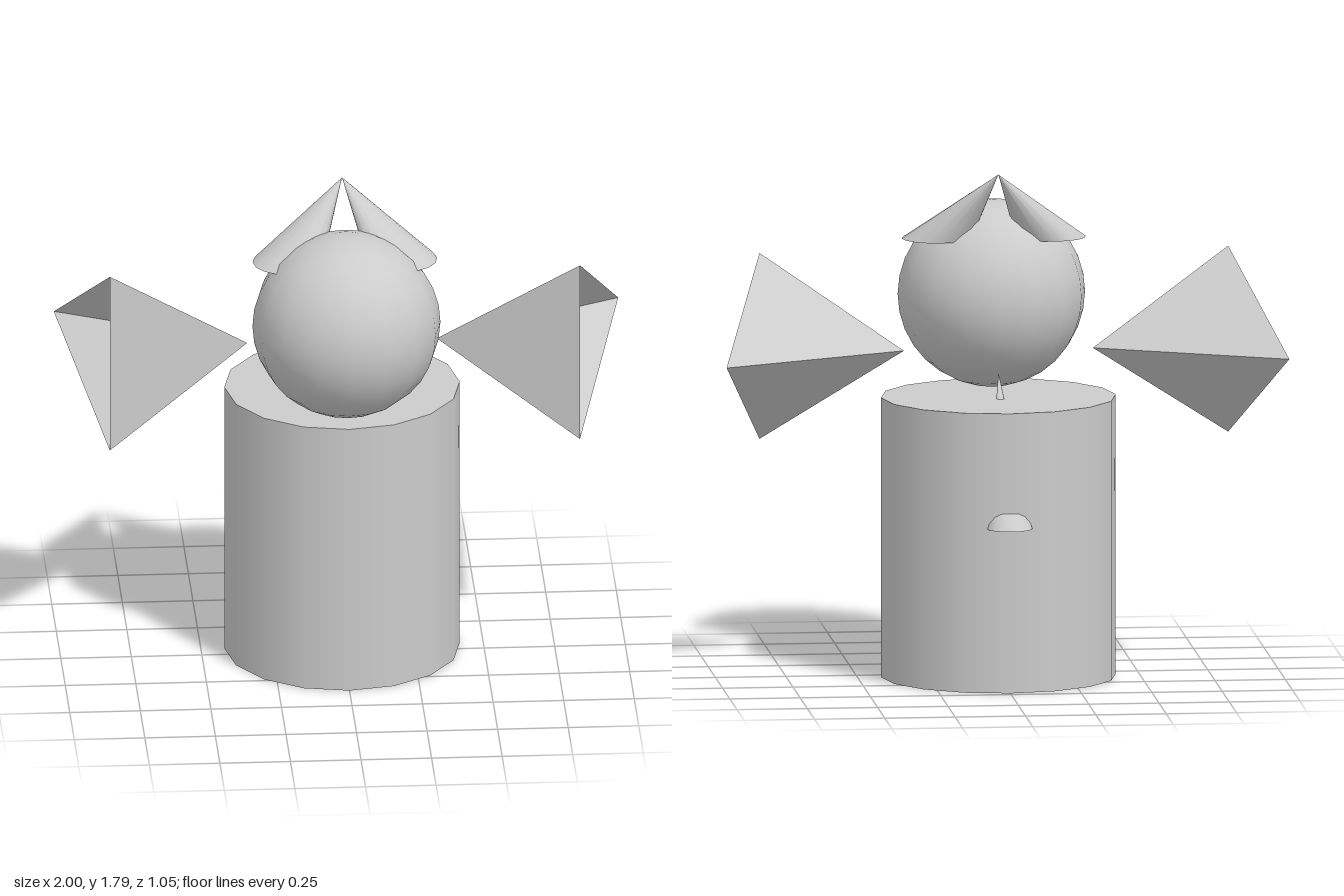
import * as THREE from 'three';

const AXIS_Z = -0.056; // depth of the body axis

export function createModel() {
  const group = new THREE.Group();
  const solid = new THREE.MeshStandardMaterial({ color: 0xcccccc });
  const open = new THREE.MeshStandardMaterial({ color: 0xcccccc, side: THREE.DoubleSide });
  const faceted = new THREE.MeshStandardMaterial({ color: 0xcccccc, side: THREE.DoubleSide, flatShading: true });

  const add = (name, geometry, material) => {
    const mesh = new THREE.Mesh(geometry, material);
    mesh.name = name;
    group.add(mesh);
    return mesh;
  };

  // Open cone whose tip is shifted sideways from its level base circle
  const slantedCone = (tip, base, radius) => {
    const d = tip.clone().sub(base);
    const shear = new THREE.Matrix4().set(
      1, d.x / d.y, 0, base.x,
      0, 1, 0, base.y,
      0, d.z / d.y, 1, base.z,
      0, 0, 0, 1);
    return new THREE.ConeGeometry(radius, d.y, 16, 1, true)
      .translate(0, d.y / 2, 0)
      .applyMatrix4(shear);
  };

  // Three-sided open pyramid: inner point joined to a triangular rim
  const armGeometry = (s) => {
    const point = [0.336 * s, 1.167, AXIS_Z];
    const top = [0.833 * s, 1.5, 0.105];
    const bottom = [0.833 * s, 0.835, 0.105];
    const back = [1 * s, 1.167, -0.39];
    const rim = s > 0 ? [top, bottom, back] : [top, back, bottom];
    const positions = rim.flatMap((p, i) => [...point, ...p, ...rim[(i + 1) % 3]]);
    const geometry = new THREE.BufferGeometry();
    geometry.setAttribute('position', new THREE.Float32BufferAttribute(positions, 3));
    geometry.computeVertexNormals();
    return geometry;
  };

  // Body
  add('body', new THREE.CylinderGeometry(0.417, 0.417, 1, 16), solid).position.set(0, 0.5, AXIS_Z);

  // Head, set forward on the body
  add('head', new THREE.SphereGeometry(0.333, 16, 16), solid).position.set(0, 1.333, 0.19);

  // Ears and arms, mirrored
  for (const [side, s] of [['left', 1], ['right', -1]]) {
    add(side + 'Ear', slantedCone(
      new THREE.Vector3(0, 1.792, AXIS_Z), new THREE.Vector3(0.202 * s, 1.543, 0.107), 0.125), open);
    add(side + 'Arm', armGeometry(s), faceted);
  }

  // Tail: runs through the body, its tip rising above the top
  add('tail', slantedCone(
    new THREE.Vector3(0, 1.085, AXIS_Z), new THREE.Vector3(0, 0.585, -0.443), 0.083), open);

  return group;
}
